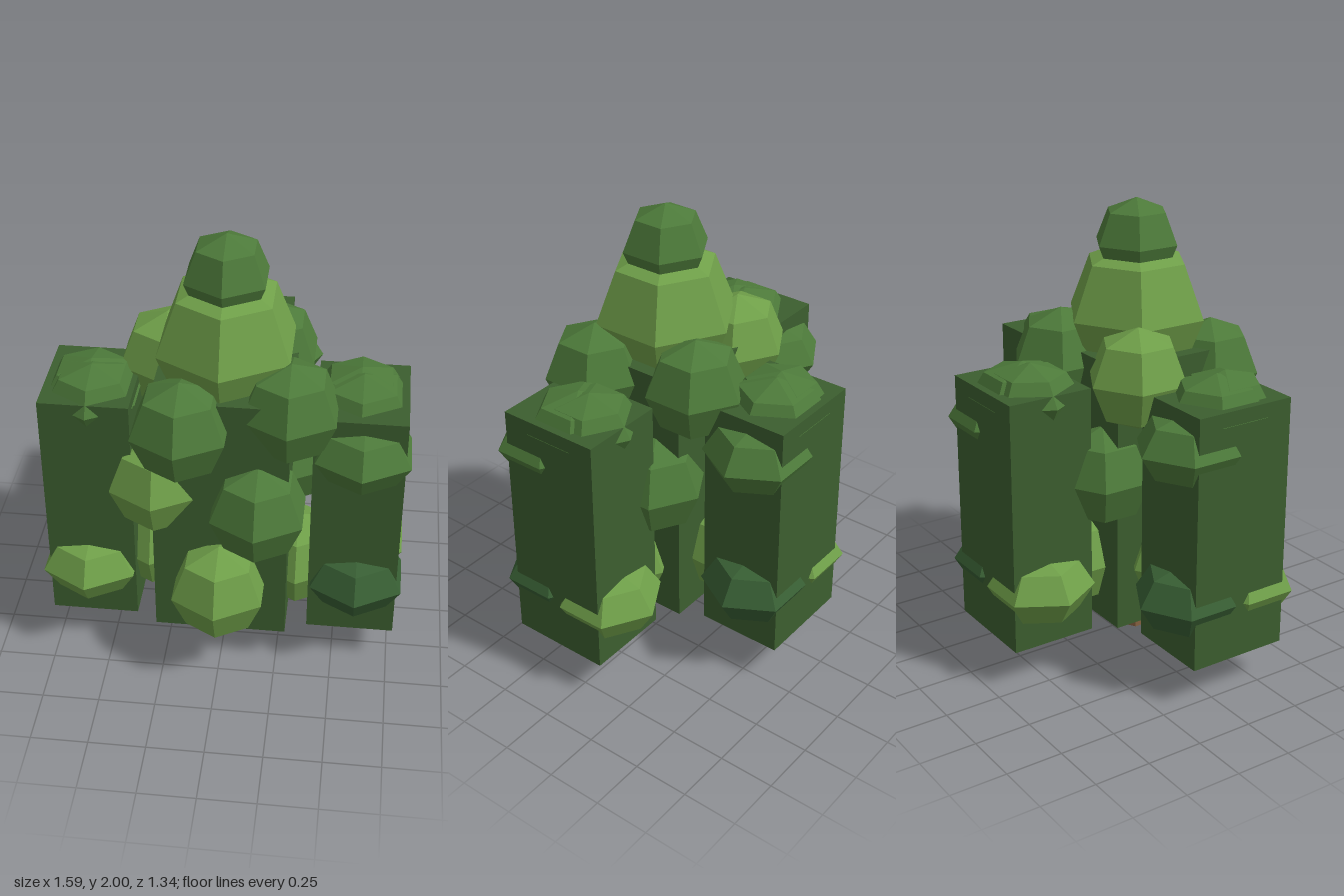
import * as THREE from 'three';

const material = (color) => new THREE.MeshStandardMaterial({ color, flatShading: true });

export function createModel() {
  const tree = new THREE.Group();
  tree.name = 'tree';

  const light = material(0x6f9f49);
  const medium = material(0x4d7a3a);
  const dark = material(0x385f34);
  const hedge = material(0x3c5e2f);
  const bark = material(0x83603f);

  // Everything is arranged around the trunk axis
  const axis = new THREE.Group();
  axis.name = 'treeAxis';
  axis.position.z = 0.12;
  tree.add(axis);

  // Six-sided leaf ball with its corners along z
  const ballGeometry = new THREE.SphereGeometry(1, 6, 4).rotateY(Math.PI / 6);
  function addBall(parent, name, mat, r, ry, x, y, z) {
    const ball = new THREE.Mesh(ballGeometry, mat);
    ball.name = name;
    ball.scale.set(r, ry, r);
    ball.position.set(x, y, z);
    parent.add(ball);
  }

  function addBlock(parent, name, w, d, bottom, top, x) {
    const block = new THREE.Mesh(new THREE.BoxGeometry(w, top - bottom, d), hedge);
    block.name = name;
    block.position.set(x, (top + bottom) / 2, 0);
    parent.add(block);
  }

  // Trunk
  const trunk = new THREE.Mesh(new THREE.CylinderGeometry(0.058, 0.078, 0.4, 6), bark);
  trunk.name = 'trunk';
  trunk.position.y = 0.2;
  axis.add(trunk);

  // Central foliage block and crown
  addBlock(axis, 'centralFoliage', 0.58, 0.58, 0.172, 1.37, 0);
  addBall(axis, 'crown', light, 0.318, 0.33, 0, 1.5, 0);
  addBall(axis, 'crownTip', medium, 0.19, 0.19, 0, 1.81, 0);

  // Three staggered rings of leaf balls: angle from +x towards +z, height, material
  const ringBalls = [
    [90, 0.445, light], [0, 0.4, light], [180, 0.45, light], [270, 0.43, light],
    [60, 0.85, medium], [150, 0.885, light], [240, 0.86, medium], [330, 0.85, medium],
    [30, 1.29, medium], [120, 1.245, medium], [213, 1.305, light], [300, 1.305, medium],
  ];
  for (const [degrees, y, mat] of ringBalls) {
    const a = THREE.MathUtils.degToRad(degrees);
    addBall(axis, 'leafBall', mat, 0.225, 0.223, 0.325 * Math.cos(a), y, 0.325 * Math.sin(a));
  }

  // Side towers on the left, back and right
  ['leftTower', 'backTower', 'rightTower'].forEach((name, i) => {
    const tower = new THREE.Group();
    tower.name = name;
    tower.rotation.y = i * Math.PI / 2;
    addBlock(tower, 'towerFoliage', 0.386, 0.46, 0.172, 1.29, 0.577);
    addBall(tower, 'towerCap', medium, 0.226, 0.155, 0.575, 1.226, 0);
    addBall(tower, 'towerCap', medium, 0.212, 0.145, 0.565, 1.24, -0.05);
    // The high and low balls share one side, the light one is opposite
    addBall(tower, 'highLeafBall', medium, 0.23, 0.155, 0.592, 1.098, 0.15);
    addBall(tower, 'lowLeafBall', dark, 0.23, 0.155, 0.592, 0.425, 0.15);
    addBall(tower, 'sideLeafBall', light, 0.232, 0.155, 0.592, 0.413, -0.15);
    axis.add(tower);
  });

  return tree;
}
